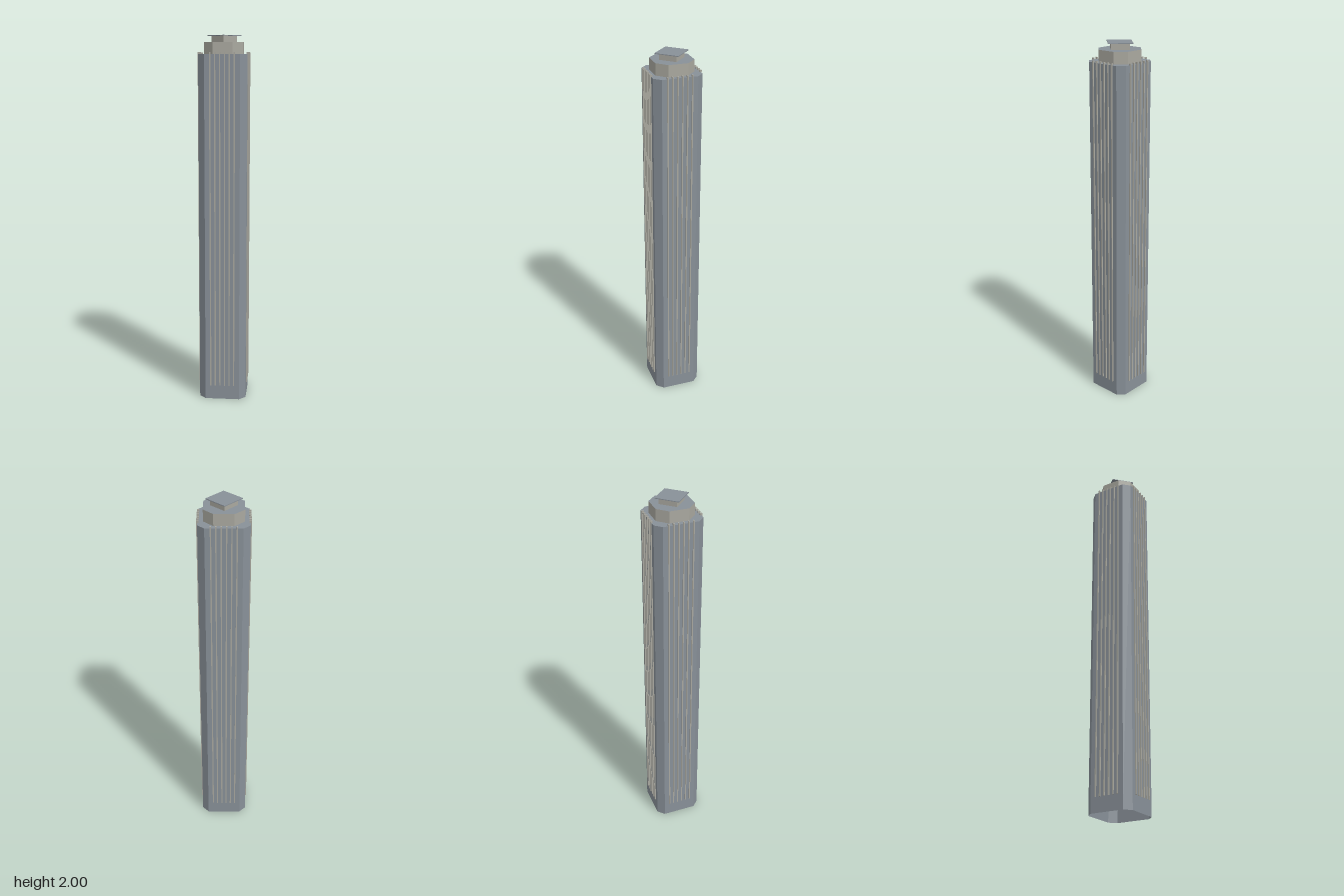
import * as THREE from 'three';

// Square with cut corners: half = half width, edge = half length of each straight side
function cutSquare(half, edge) {
  return new THREE.Shape([
    [edge, -half], [half, -edge], [half, edge], [edge, half],
    [-edge, half], [-half, edge], [-half, -edge], [-edge, -half],
  ].map(([x, y]) => new THREE.Vector2(x, y)));
}

export function createModel() {
  const wall = new THREE.MeshStandardMaterial({ color: 0x889098, side: THREE.DoubleSide });
  wall.name = 'blue grey wall';
  const stone = new THREE.MeshStandardMaterial({ color: 0xa9a89f });
  stone.name = 'pale stone';

  const model = new THREE.Group();
  model.name = 'tower';
  const tower = new THREE.Group();
  tower.name = 'towerBody';
  tower.rotation.y = 0.229;
  model.add(tower);

  const add = (parent, geometry, material, name) => {
    const mesh = new THREE.Mesh(geometry, material);
    mesh.name = name;
    parent.add(mesh);
    return mesh;
  };

  const half = 0.129, edge = 0.094, height = 1.902;
  const ribBottom = 0.08, ribTop = 1.912;

  // Four sides, each with a flat wall, a corner wall and six ribs
  const wallGeo = new THREE.PlaneGeometry(edge * 2, height);
  const cornerGeo = new THREE.PlaneGeometry((half - edge) * Math.SQRT2, height);
  const ribGeo = new THREE.BoxGeometry(0.0065, ribTop - ribBottom, 0.012);
  for (let i = 0; i < 4; i++) {
    const side = new THREE.Group();
    side.name = 'side' + (i + 1);
    side.rotation.y = i * Math.PI / 2;
    tower.add(side);

    add(side, wallGeo, wall, 'wall').position.set(0, height / 2, half);
    const corner = add(side, cornerGeo, wall, 'cornerWall');
    corner.position.set((half + edge) / 2, height / 2, (half + edge) / 2);
    corner.rotation.y = Math.PI / 4;

    for (let r = 0; r < 6; r++) {
      add(side, ribGeo, stone, 'rib').position.set((r - 2.5) * 0.0257, (ribBottom + ribTop) / 2, half);
    }
  }

  // Flat deck closing the shaft; the bottom stays open
  const deck = add(tower, new THREE.ShapeGeometry(cutSquare(half, edge)), wall, 'deck');
  deck.rotation.x = -Math.PI / 2;
  deck.position.y = height;

  // Eight-sided upper storey
  const storeyGeo = new THREE.ExtrudeGeometry(cutSquare(0.102, 0.051), { depth: 0.062, bevelEnabled: false });
  const storey = add(tower, storeyGeo, [wall, stone], 'upperStorey');
  storey.rotation.x = -Math.PI / 2;
  storey.position.y = height;

  // Turned square penthouse with an overhanging roof slab
  const penthouse = new THREE.Group();
  penthouse.name = 'penthouse';
  penthouse.rotation.y = -Math.PI / 6;
  model.add(penthouse);
  add(penthouse, new THREE.BoxGeometry(0.096, 0.034, 0.096), stone, 'penthouseWalls').position.y = 1.98;
  add(penthouse, new THREE.BoxGeometry(0.128, 0.004, 0.128), wall, 'roofSlab').position.y = 1.998;

  return model;
}
